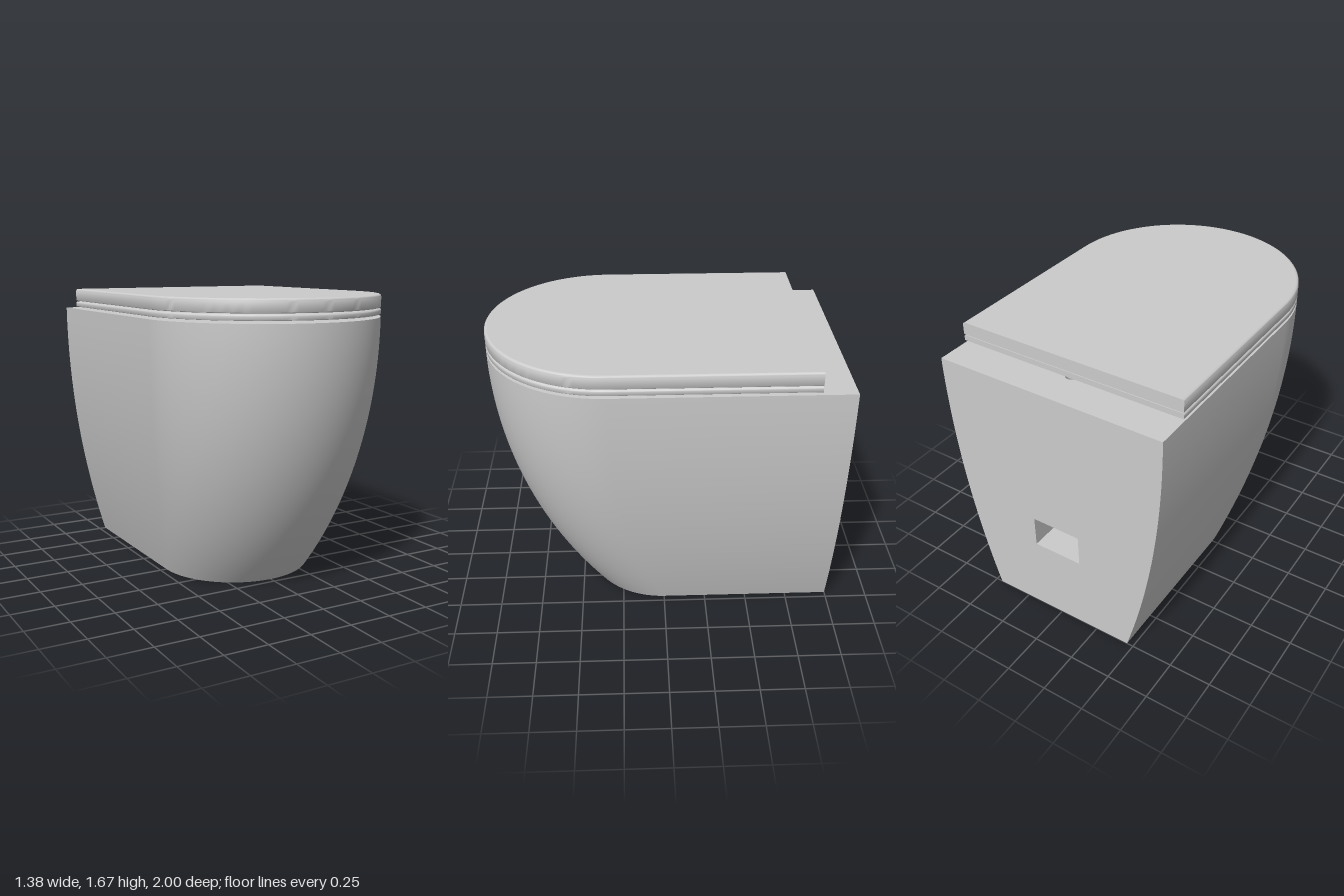
import * as THREE from 'three';
import { toCreasedNormals } from 'three/addons/utils/BufferGeometryUtils.js';

const TOP = 1.54, BACK = -1, LID_BACK = -0.81;
const PIPE = { z: -0.77, r: 0.037 };
const CAVITY = { w: 0.15, y0: 0.47, y1: 0.66, front: -0.6 };

// U-shaped outline in plan: straight sides with a semicircular front
function outline(r, cz, back, n = 64) {
  const pts = [new THREE.Vector2(r, back)];
  for (let i = 0; i <= n; i++) {
    const t = (i / n) * Math.PI;
    pts.push(new THREE.Vector2(r * Math.cos(t), cz + r * Math.sin(t)));
  }
  pts.push(new THREE.Vector2(-r, back));
  return pts;
}

// Skin through stacked outlines, bottom to top
function loft(sections, closed) {
  const pos = [], idx = [], n = sections[0].pts.length;
  for (const { pts, y } of sections) for (const p of pts) pos.push(p.x, y, p.y);
  for (let i = 0; i < sections.length - 1; i++) {
    for (let j = 0; j < (closed ? n : n - 1); j++) {
      const k = (j + 1) % n;
      const a = i * n + j, b = i * n + k, c = a + n, d = b + n;
      idx.push(a, c, b, b, c, d);
    }
  }
  const g = new THREE.BufferGeometry();
  g.setAttribute('position', new THREE.Float32BufferAttribute(pos, 3));
  g.setIndex(idx);
  g.computeVertexNormals();
  return g;
}

// Horizontal face, optionally pierced by the vertical pipe
function flat(pts, y, up, pierced) {
  const s = up ? -1 : 1;
  const shape = new THREE.Shape(pts.map(p => new THREE.Vector2(p.x, s * p.y)));
  if (pierced) shape.holes.push(new THREE.Path().absarc(0, s * PIPE.z, PIPE.r, 0, Math.PI * 2));
  return new THREE.ShapeGeometry(shape, 16).rotateX(s * Math.PI / 2).translate(0, y, 0);
}

// Bulging side curve: an arc that is vertical at the rim
function bulge(y, top, foot) {
  const d = top - foot, R = (d * d + TOP * TOP) / (2 * d);
  return top - R + Math.sqrt(R * R - (TOP - y) ** 2);
}

export function createModel() {
  const root = new THREE.Group();
  const mat = new THREE.MeshStandardMaterial({ color: 0xcccccc });
  const thin = new THREE.MeshStandardMaterial({ color: 0xcccccc, side: THREE.DoubleSide });
  const add = (parent, name, geo, m = mat) => {
    const mesh = new THREE.Mesh(geo, m);
    mesh.name = name;
    parent.add(mesh);
  };

  // Pan body
  const pan = new THREE.Group();
  pan.name = 'pan';
  root.add(pan);
  const sections = [];
  for (let i = 0; i <= 32; i++) {
    const y = TOP * i / 32, r = bulge(y, 0.69, 0.46);
    sections.push({ y, r, pts: outline(r, bulge(y, 1, 0.46) - r, BACK) });
  }
  add(pan, 'panSkin', loft(sections, false));
  add(pan, 'panBase', flat(sections[0].pts, 0, false, true));
  add(pan, 'panRim', flat(sections[32].pts, TOP, true, true));

  // Back wall with the rectangular outlet opening
  const wall = new THREE.Shape([
    ...sections.map(s => new THREE.Vector2(s.r, s.y)),
    ...[...sections].reverse().map(s => new THREE.Vector2(-s.r, s.y)),
  ]);
  const { w, y0, y1, front } = CAVITY;
  wall.holes.push(new THREE.Path([[-w, y0], [-w, y1], [w, y1], [w, y0]].map(p => new THREE.Vector2(...p))));
  add(pan, 'backWall', new THREE.ShapeGeometry(wall).rotateY(Math.PI).translate(0, 0, BACK));

  // Outlet recess behind the opening
  const recess = new THREE.Group();
  recess.name = 'outletRecess';
  pan.add(recess);
  const rect = [[-w, BACK], [w, BACK], [w, front], [-w, front]].map(p => new THREE.Vector2(...p));
  const h = y1 - y0, depth = front - BACK, my = (y0 + y1) / 2;
  add(recess, 'recessFloor', flat(rect, y0, true, true));
  add(recess, 'recessCeiling', flat(rect, y1, false, true));
  add(recess, 'recessEnd', new THREE.PlaneGeometry(2 * w, h).rotateY(Math.PI).translate(0, my, front));
  for (const s of [-1, 1]) {
    add(recess, 'recessSide', new THREE.PlaneGeometry(depth, h)
      .rotateY(-s * Math.PI / 2).translate(s * w, my, (BACK + front) / 2));
  }

  // Vertical pipe bore, below and above the recess
  for (const [a, b] of [[0, y0], [y1, TOP]]) {
    add(pan, 'pipeBore', new THREE.CylinderGeometry(PIPE.r, PIPE.r, b - a, 32, 1, true)
      .translate(0, (a + b) / 2, PIPE.z), thin);
  }

  // Seat and lid: slabs with rounded rims along the sides and front
  const slab = (name, bottom, top, rBottom, rTop) => {
    const g = new THREE.Group();
    g.name = name;
    root.add(g);
    const rows = [];
    const row = (inset, y) => rows.push({ y, pts: outline(0.69 - inset, 0.31, LID_BACK) });
    for (let i = 0; i <= 4; i++) {
      const t = (i / 4) * Math.PI / 2;
      row(rBottom * (1 - Math.sin(t)), bottom + rBottom * (1 - Math.cos(t)));
    }
    for (let i = 0; i <= 4; i++) {
      const t = (i / 4) * Math.PI / 2;
      row(rTop * (1 - Math.cos(t)), top - rTop * (1 - Math.sin(t)));
    }
    add(g, name + 'Edge', toCreasedNormals(loft(rows, true), 0.6));
    add(g, name + 'Underside', flat(rows[0].pts, bottom, false));
    add(g, name + 'Top', flat(rows[rows.length - 1].pts, top, true));
  };
  slab('seat', 1.555, 1.588, 0.004, 0.012);
  slab('lid', 1.592, 1.667, 0.006, 0.016);

  return root;
}
